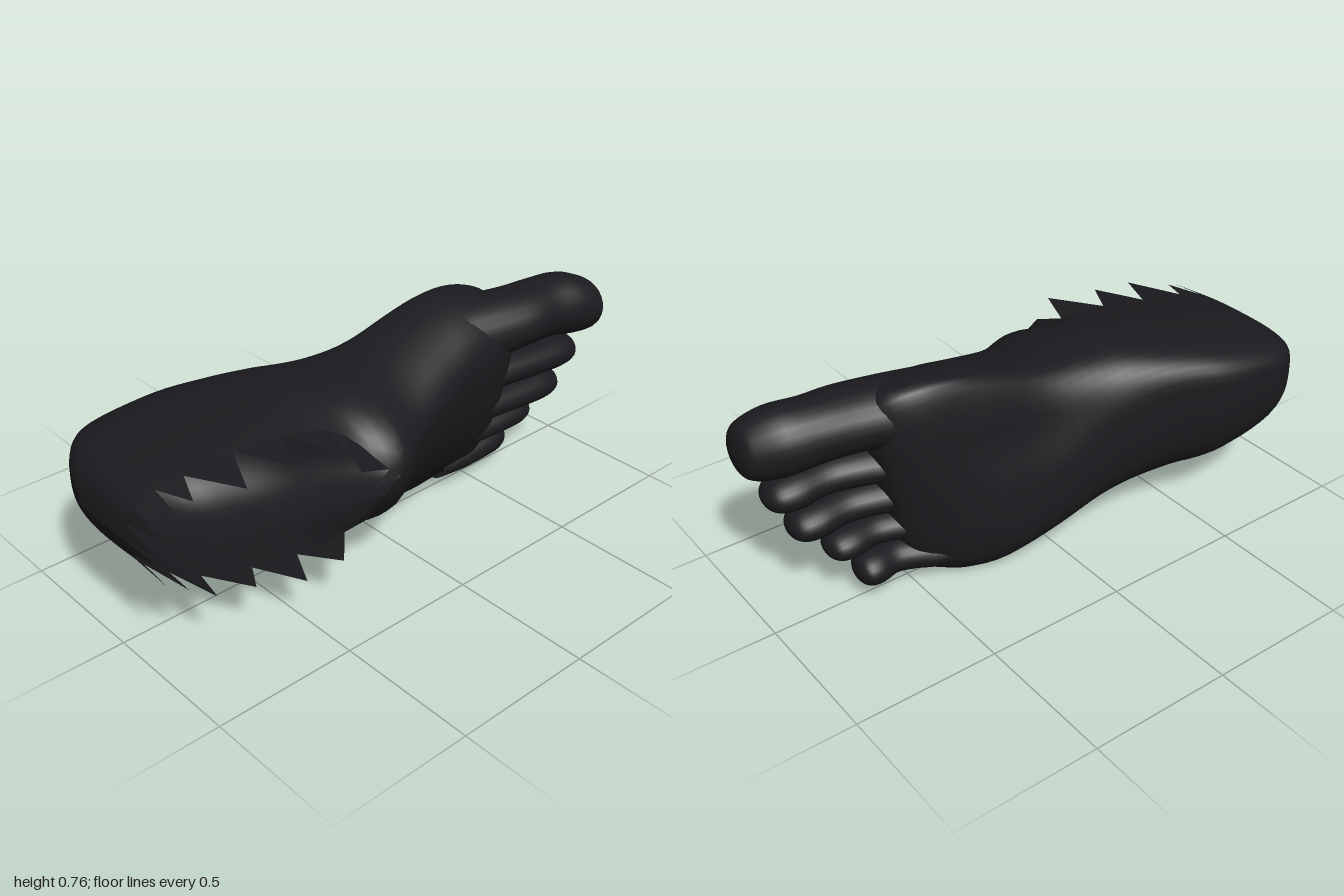
import * as THREE from 'three';
import { mergeVertices } from 'three/addons/utils/BufferGeometryUtils.js';

const material = new THREE.MeshStandardMaterial({ color: 0x1b1b1f, side: THREE.DoubleSide });
const { lerp, smoothstep } = THREE.MathUtils;

// Smoothly resample a table of stations (Catmull-Rom on every channel)
function resample(rows, sub) {
  const out = [];
  const at = i => rows[Math.max(0, Math.min(rows.length - 1, i))];
  for (let i = 0; i < rows.length - 1; i++) {
    for (let s = 0; s < sub; s++) {
      const t = s / sub;
      out.push(rows[i].map((b, c) => {
        const a = at(i - 1)[c], d = at(i + 1)[c], e = at(i + 2)[c];
        return b + 0.5 * t * (d - a + t * (2 * a - 5 * b + 4 * d - e + t * (3 * (b - d) + e - a)));
      }));
    }
  }
  out.push(rows[rows.length - 1].slice());
  return out;
}

// Skin a list of equally long point rows
function loft(rings, name) {
  const n = rings[0].length, index = [];
  for (let i = 0; i < rings.length - 1; i++) {
    for (let j = 0; j < n - 1; j++) {
      const a = i * n + j, b = a + n;
      index.push(a, a + 1, b, a + 1, b + 1, b);
    }
  }
  let geo = new THREE.BufferGeometry().setFromPoints(rings.flat());
  geo.setIndex(index);
  geo = mergeVertices(geo, 1e-4);
  geo.computeVertexNormals();
  const mesh = new THREE.Mesh(geo, material);
  mesh.name = name;
  return mesh;
}

// Foot stations: x, yLow, yHigh, zSole, zSide, zTop, yPeak, rim angle (PI/2 = closed over the top)
const C = Math.PI / 2, RIM_ROW = 8, SUB = 4;
const stations = [
  [-1.0, 0.435, 0.435, -0.15, -0.02, 0.06, 0.435, 0.3],
  [-0.985, 0.375, 0.51, -0.22, -0.03, 0.07, 0.44, 0.3],
  [-0.95, 0.325, 0.56, -0.3, -0.05, 0.09, 0.44, 0.3],
  [-0.88, 0.27, 0.595, -0.375, -0.08, 0.11, 0.44, 0.3],
  [-0.78, 0.215, 0.615, -0.4, -0.1, 0.13, 0.43, 0.32],
  [-0.6, 0.16, 0.643, -0.385, -0.09, 0.15, 0.42, 0.38],
  [-0.45, 0.145, 0.66, -0.335, -0.06, 0.19, 0.42, 0.5],
  [-0.3, 0.12, 0.673, -0.285, -0.03, 0.25, 0.43, 0.85],
  [-0.17, 0.095, 0.668, -0.252, -0.03, 0.375, 0.45, C],
  [0, 0.055, 0.672, -0.235, -0.05, 0.3, 0.48, C],
  [0.2, 0.01, 0.72, -0.215, -0.06, 0.24, 0.53, C],
  [0.34, 0.004, 0.757, -0.17, -0.06, 0.21, 0.56, C],
  [0.44, 0.016, 0.754, -0.135, -0.04, 0.195, 0.56, C],
  [0.52, 0.045, 0.72, -0.09, 0, 0.17, 0.55, C],
  [0.56, 0.14, 0.64, -0.04, 0.03, 0.13, 0.48, C],
  [0.575, 0.415, 0.415, 0.05, 0.05, 0.05, 0.415, C],
];

function footSection([x, yLo, yHi, zSole, zSide, zTop, yPeak, open]) {
  const phi = Math.min(open, C), pts = [], UP = 10, DOWN = 24;
  // The heel is square on the inner side; further forward the outer edge hangs lowest
  const ySole = lerp(yLo, yHi, lerp(0.6, 0.29, smoothstep(x, -0.5, 0.1)));
  const inner = lerp(0.4, 0.7, smoothstep(x, -0.5, 0.1));
  const slant = 0.17 * smoothstep(x, 0.2, 0.5);
  const arch = 0.045 * Math.exp(-((x - 0.12) ** 2) / 0.05);
  const add = (y, z) => pts.push(new THREE.Vector3(x + slant * (y - 0.38), y, z));
  const upper = (a, side, power) => add(yPeak + (side - yPeak) * Math.cos(a),
    zSide + (zTop - zSide) * (Math.sin(a) / Math.sin(phi)) ** power);
  // The instep falls away more steeply on the outer side
  for (let k = 0; k < UP; k++) upper(phi * (1 - k / UP), yLo, 1.4);
  for (let k = 0; k <= DOWN; k++) {
    const a = Math.PI * (1 + k / DOWN), c = Math.cos(a), s = Math.abs(Math.sin(a));
    const y = c < 0 ? ySole - (ySole - yLo) * (-c) ** 0.75 : ySole + (yHi - ySole) * c ** inner;
    add(y, zSide + (zSole - zSide) * s ** 0.75 + arch * smoothstep(c, 0, 0.5) * s);
  }
  for (let k = 1; k <= UP; k++) upper(phi * k / UP, yHi, 1);
  return pts;
}

// Torn points standing on the ankle rim
function tornEdge(rim) {
  let seed = 7;
  const rand = () => (seed = (seed * 16807) % 2147483647) / 2147483647;
  const pos = [], STEP = 4;
  for (let i = 0; i + 1 < rim.length; i += STEP) {
    const end = Math.min(i + STEP, rim.length - 1);
    const mid = rim[i].clone().add(rim[end]).multiplyScalar(0.5);
    const front = smoothstep(mid.x, -0.35, -0.22);
    const h = 0.11 + 0.07 * rand();
    const tip = new THREE.Vector3(
      Math.max(-0.995, mid.x - 0.1 * front + (rand() - 0.5) * 0.05),
      mid.y + (0.43 - mid.y) * 0.04,
      Math.min(0.39, mid.z + h * (1 - 0.5 * front)));
    for (let k = i; k < end; k++) pos.push(...rim[k].toArray(), ...rim[k + 1].toArray(), ...tip.toArray());
  }
  const geo = new THREE.BufferGeometry();
  geo.setAttribute('position', new THREE.Float32BufferAttribute(pos, 3));
  geo.computeVertexNormals();
  const mesh = new THREE.Mesh(geo, material);
  mesh.name = 'tornAnkleEdge';
  return mesh;
}

// Toe from stations: x, y, z, half width, half height
function toe(rows, name) {
  const rings = resample(rows, 4).map(([x, y, z, ry, rz]) =>
    Array.from({ length: 25 }, (_, k) => {
      const a = (k % 24) / 24 * Math.PI * 2;
      return new THREE.Vector3(x, y + Math.max(0, ry) * Math.cos(a), z + Math.max(0, rz) * Math.sin(a));
    }));
  return loft(rings, name);
}

export function createModel() {
  const group = new THREE.Group();
  group.name = 'foot';

  // Heel, sole and instep
  const rings = resample(stations, SUB).map(footSection);
  group.add(loft(rings, 'footBody'));

  // Ragged ankle opening: around the heel from one side of the instep to the other
  const open = rings.slice(0, RIM_ROW * SUB + 1);
  const rim = [...open.map(r => r[0]).reverse(), ...open.map(r => r[r.length - 1])];
  group.add(tornEdge(rim));

  // Big toe
  group.add(toe([
    [0.36, 0.62, 0.03, 0.115, 0.13],
    [0.5, 0.625, 0.055, 0.115, 0.14],
    [0.64, 0.633, 0.085, 0.106, 0.135],
    [0.76, 0.632, 0.095, 0.108, 0.122],
    [0.87, 0.624, 0.115, 0.116, 0.12],
    [0.95, 0.61, 0.138, 0.1, 0.1],
    [0.985, 0.606, 0.142, 0.068, 0.07],
    [1, 0.605, 0.142, 0, 0],
  ], 'bigToe'));

  // Small toes: tip x, tip y, tip z, half width, half height, base x, base y, base z
  const small = [
    [0.94, 0.437, 0.115, 0.063, 0.088, 0.4, 0.46, 0.04],
    [0.88, 0.312, 0.09, 0.061, 0.086, 0.36, 0.335, 0.03],
    [0.78, 0.216, 0.045, 0.056, 0.084, 0.34, 0.22, 0.0],
    [0.7, 0.11, -0.002, 0.06, 0.08, 0.34, 0.1, -0.03],
  ];
  // Along the toe: position, width, height, knuckle lift
  const shape = [
    [0, 1, 1.25, 0], [0.25, 1.05, 1.25, 0.005], [0.45, 0.98, 1.05, 0.018], [0.62, 0.95, 0.93, 0.022],
    [0.8, 1, 1, 0.005], [0.92, 0.86, 0.86, -0.005], [0.98, 0.5, 0.5, -0.01], [1, 0, 0, -0.01],
  ];
  small.forEach(([tx, ty, tz, ry, rz, bx, by, bz], i) => {
    group.add(toe(shape.map(([t, w, h, lift]) =>
      [lerp(bx, tx, t), lerp(by, ty, t), lerp(bz, tz, t) + lift, ry * w, rz * h]), `smallToe${i + 1}`));
  });
  return group;
}
